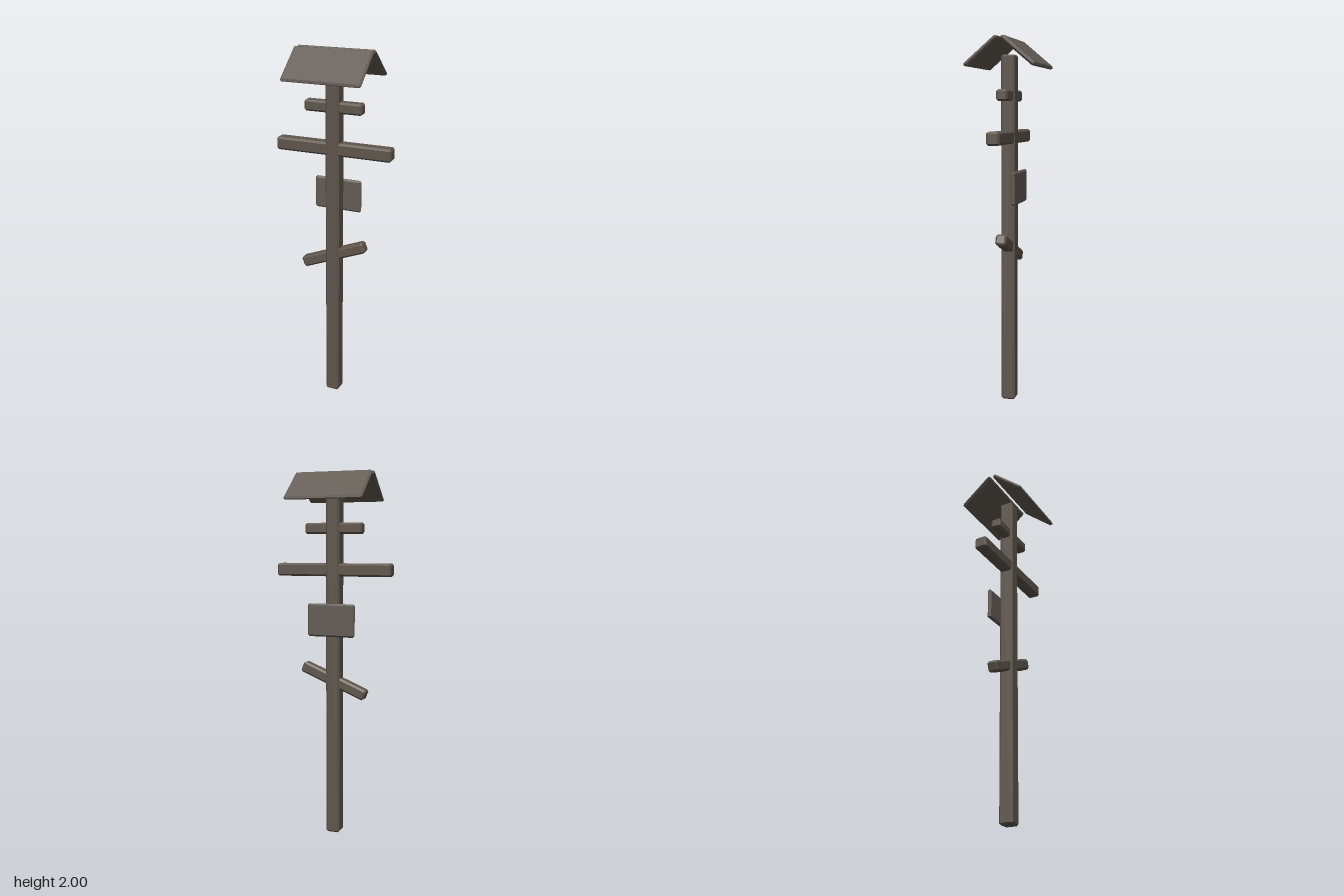
import * as THREE from 'three';
import { ConvexGeometry } from 'three/addons/geometries/ConvexGeometry.js';

// Box with flat chamfered edges and corners
function chamferBox(w, h, d, b) {
  const points = [];
  for (const sx of [-1, 1]) for (const sy of [-1, 1]) for (const sz of [-1, 1]) {
    const x = w / 2, y = h / 2, z = d / 2;
    points.push(
      new THREE.Vector3(sx * x, sy * (y - b), sz * (z - b)),
      new THREE.Vector3(sx * (x - b), sy * y, sz * (z - b)),
      new THREE.Vector3(sx * (x - b), sy * (y - b), sz * z)
    );
  }
  return new ConvexGeometry(points);
}

export function createModel() {
  const model = new THREE.Group();
  model.name = 'roofedWaysideCross';
  const wood = new THREE.MeshStandardMaterial({ color: 0x5f564c });
  wood.name = 'weatheredWood';
  const boards = new THREE.MeshStandardMaterial({ color: 0x645c55 });
  boards.name = 'greyBoards';

  const add = (name, material, size, bevel, position) => {
    const mesh = new THREE.Mesh(chamferBox(...size, bevel), material);
    mesh.name = name;
    mesh.position.set(...position);
    model.add(mesh);
    return mesh;
  };

  // Upright and three crossbars
  add('post', wood, [0.078, 1.915, 0.078], 0.01, [0, 0.9575, 0]);
  add('topBar', wood, [0.326, 0.06, 0.06], 0.01, [0, 1.7, 0]);
  add('mainBar', wood, [0.656, 0.07, 0.07], 0.01, [0, 1.478, 0]);
  add('slantedBar', wood, [0.394, 0.06, 0.06], 0.01, [0, 0.868, 0]).rotation.z = 0.384;

  // Plaque on the back of the post
  add('plaque', boards, [0.27, 0.18, 0.022], 0.009, [0, 1.206, -0.053]);

  // Two sloping roof boards with a gap at the ridge
  for (const side of [1, -1]) {
    const board = add(side > 0 ? 'frontRoofBoard' : 'backRoofBoard', boards,
      [0.438, 0.022, 0.23], 0.009, [0, 1.923, side * 0.0995]);
    board.rotation.x = side * 0.698;
  }
  return model;
}
